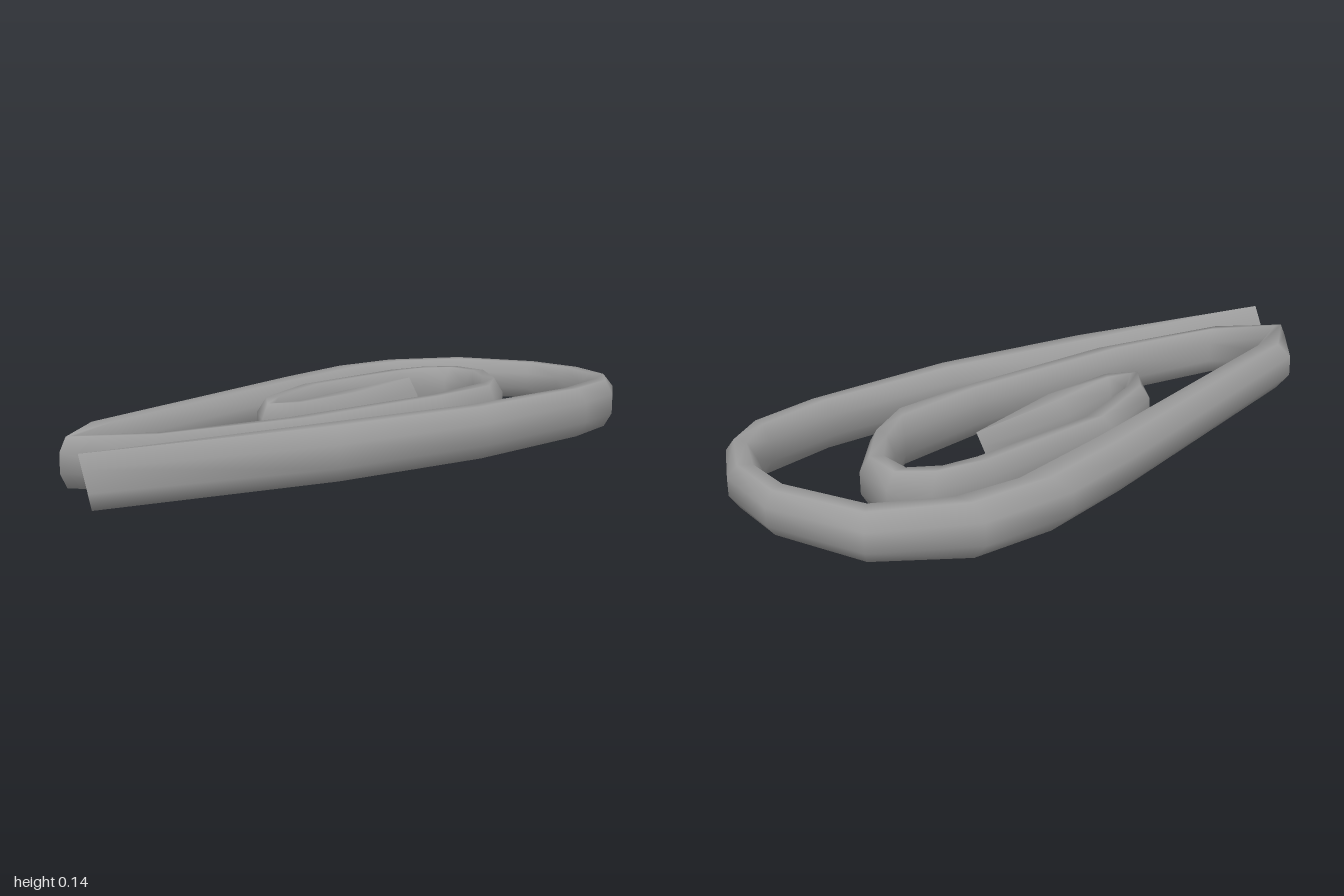
import * as THREE from 'three';

// Spiral stations from the outer end to the inner end: inner edge x, z, then outer edge x, z
const STATIONS = [
  [-0.97, 0.08, -1.0, 0.21], [-0.27, 0.25, -0.37, 0.355], [0.13, 0.335, 0.12, 0.44],
  [0.53, 0.365, 0.58, 0.44], [0.76, 0.325, 0.765, 0.41], [0.85, 0.24, 0.88, 0.34],
  [0.9, 0.12, 0.97, 0.18], [0.905, 0.0, 0.995, -0.03], [0.83, -0.21, 0.905, -0.29],
  [0.69, -0.305, 0.67, -0.43], [0.55, -0.33, 0.41, -0.445], [0.2, -0.27, 0.16, -0.4],
  [-0.65, -0.095, -0.75, -0.185], [-0.845, -0.03, -0.9, -0.045], [-0.67, 0.07, -0.74, 0.1],
  [-0.38, 0.125, -0.27, 0.22], [0.19, 0.16, 0.19, 0.235], [0.48, 0.12, 0.42, 0.23],
  [0.58, 0.03, 0.57, 0.15], [0.64, -0.05, 0.71, 0.0], [0.64, -0.13, 0.725, -0.13],
  [0.57, -0.17, 0.65, -0.21], [0.5, -0.175, 0.49, -0.25], [0.15, -0.17, 0.06, -0.235],
  [-0.1, -0.09, -0.18, -0.135], [-0.19, -0.03, -0.25, -0.04], [-0.13, -0.03, -0.16, 0.03],
  [0.08, -0.08, 0.08, 0.037], [0.39, -0.14, 0.41, -0.01],
];
const SIDES = 8;
const TOP = 0.14;

// One cross-section from inner to outer edge: eight-sided along the wire, triangular at its ends
function ring([ix, iz, ox, oz], station) {
  const isEnd = station === 0 || station === STATIONS.length - 1;
  const lift = THREE.MathUtils.smoothstep(Math.abs(ix + ox) / 2, 0.75, 0.95);
  const bottom = isEnd ? 0.025 : 0.025 * lift;
  const points = [];
  for (let j = 0; j < SIDES; j++) {
    const a = ((j + 0.5) / SIDES) * Math.PI * 2;
    const k = 0.5 / Math.cos(Math.PI / SIDES);
    const v = 0.5 + k * Math.sin(a);
    const across = isEnd ? Math.sign(Math.cos(a)) * 0.5 * (1 - v) : k * Math.cos(a);
    points.push(new THREE.Vector3(
      THREE.MathUtils.lerp(ix, ox, 0.5 + across),
      THREE.MathUtils.lerp(bottom, TOP, v),
      THREE.MathUtils.lerp(iz, oz, 0.5 + across),
    ));
  }
  return points;
}

// Smooth skin joining the cross-sections, open at both ends
function wireSkin(rings) {
  const index = [];
  for (let i = 0; i < rings.length - 1; i++) {
    for (let j = 0; j < SIDES; j++) {
      const a = i * SIDES + j;
      const b = i * SIDES + ((j + 1) % SIDES);
      index.push(a, a + SIDES, b, b, a + SIDES, b + SIDES);
    }
  }
  const geometry = new THREE.BufferGeometry().setFromPoints(rings.flat());
  geometry.setIndex(index);
  geometry.computeVertexNormals();
  return geometry;
}

export function createModel() {
  const group = new THREE.Group();
  group.name = 'paperClip';
  const material = new THREE.MeshStandardMaterial({ color: 0x9c9c9c });
  const wire = new THREE.Mesh(wireSkin(STATIONS.map(ring)), material);
  wire.name = 'bentWire';
  group.add(wire);
  return group;
}
